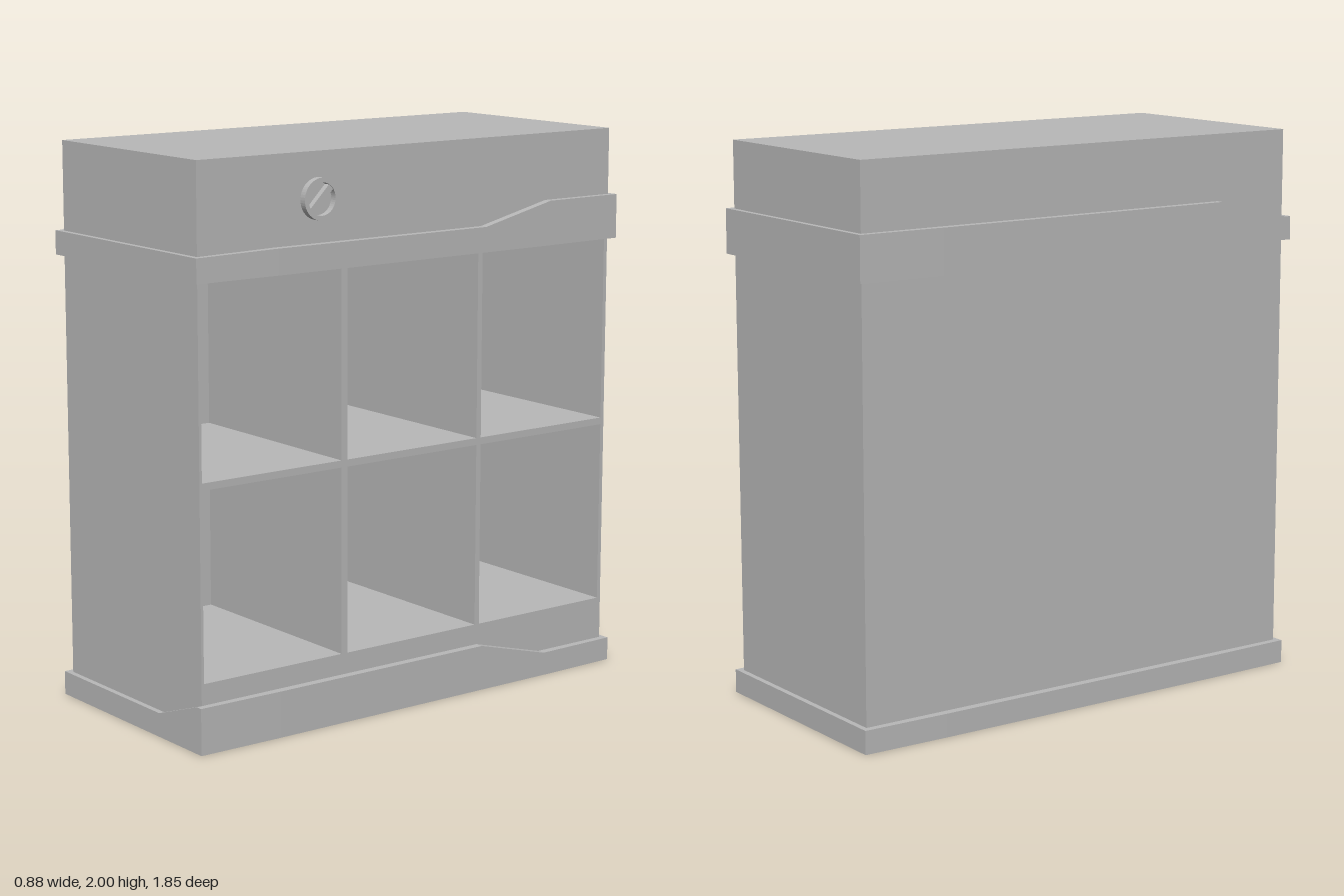
import * as THREE from 'three';

const HX = 0.41, HZ = 0.905; // half width and half length of the body

// Band around the body: points are [x, z, topHeight], listed from +x front round to the back
function bandGeometry(points, bottom) {
  const pos = [];
  const quad = (a, b, c, d) => pos.push(...a, ...b, ...c, ...a, ...c, ...d);
  const clamp = THREE.MathUtils.clamp;
  points.forEach((p, i) => {
    const q = points[(i + 1) % points.length];
    const outer = ([x, z], y) => [x, y, z];
    const inner = ([x, z], y) => [clamp(x, -HX, HX), y, clamp(z, -HZ, HZ)];
    quad(outer(p, bottom), outer(q, bottom), outer(q, q[2]), outer(p, p[2])); // outside
    quad(outer(p, p[2]), outer(q, q[2]), inner(q, q[2]), inner(p, p[2]));     // top ledge
    quad(inner(p, bottom), inner(q, bottom), outer(q, bottom), outer(p, bottom)); // underside
  });
  const geo = new THREE.BufferGeometry();
  geo.setAttribute('position', new THREE.Float32BufferAttribute(pos, 3));
  geo.computeVertexNormals();
  return geo;
}

function rectPath(path, u0, v0, u1, v1) {
  path.moveTo(u0, v0);
  path.lineTo(u1, v0);
  path.lineTo(u1, v1);
  path.lineTo(u0, v1);
  path.closePath();
  return path;
}

export function createModel() {
  const group = new THREE.Group();
  const grey = new THREE.MeshStandardMaterial({ color: 0xb8b8b8 });
  grey.name = 'plain grey';
  const add = (name, geo, parent = group) => {
    const mesh = new THREE.Mesh(geo, grey);
    mesh.name = name;
    parent.add(mesh);
    return mesh;
  };

  // Cabinet body with six deep compartments open on +x
  const side = rectPath(new THREE.Shape(), -HZ, 0, HZ, 2);
  for (const u of [-0.895, -0.29, 0.31])
    for (const v of [0.24, 0.93])
      side.holes.push(rectPath(new THREE.Path(), u, v, u + 0.58, v + 0.665));
  const body = new THREE.ExtrudeGeometry(side, { depth: 2 * HX - 0.02, bevelEnabled: false });
  body.rotateY(Math.PI / 2).translate(-HX + 0.02, 0, 0);
  add('cabinetBody', body);

  // Panel closing the compartments on -x
  const panel = add('backPanel', new THREE.BoxGeometry(0.02, 2, 2 * HZ));
  panel.position.set(-HX + 0.01, 1, 0);

  // Upper band: low at the front, stepping up towards the back
  add('upperBand', bandGeometry([
    [0.435, 0.925, 1.685], [0.44, 0.6, 1.69], [0.44, -0.3, 1.69], [0.44, -0.6, 1.76],
    [0.435, -0.925, 1.76], [-0.435, -0.925, 1.76], [-0.44, -0.6, 1.76],
    [-0.44, 0.6, 1.76], [-0.435, 0.9, 1.685], [-0.435, 0.925, 1.685],
  ], 1.6));

  // Base band: tall at the +x front corner, sloping down both ways
  add('baseBand', bandGeometry([
    [0.435, 0.925, 0.165], [0.44, 0.6, 0.165], [0.44, -0.3, 0.165], [0.44, -0.6, 0.085],
    [0.435, -0.925, 0.085], [-0.435, -0.925, 0.085], [-0.44, -0.6, 0.085],
    [-0.44, 0.6, 0.085], [-0.435, 0.925, 0.085], [0.18, 0.925, 0.085], [0.41, 0.925, 0.165],
  ], 0));

  // Round latch: ring with a diagonal grip
  const latch = new THREE.Group();
  latch.name = 'latch';
  latch.position.set(HX, 1.84, 0.415);
  latch.rotation.y = Math.PI / 2;
  const ring = new THREE.Shape().absarc(0, 0, 0.072, 0, Math.PI * 2);
  ring.holes.push(new THREE.Path().absarc(0, 0, 0.056, 0, Math.PI * 2, true));
  add('latchRing', new THREE.ExtrudeGeometry(ring, { depth: 0.025, bevelEnabled: false, curveSegments: 24 }), latch);
  const grip = add('latchGrip', new THREE.BoxGeometry(0.116, 0.024, 0.022), latch);
  grip.position.z = 0.011;
  grip.rotation.z = Math.PI / 4;
  group.add(latch);

  return group;
}
